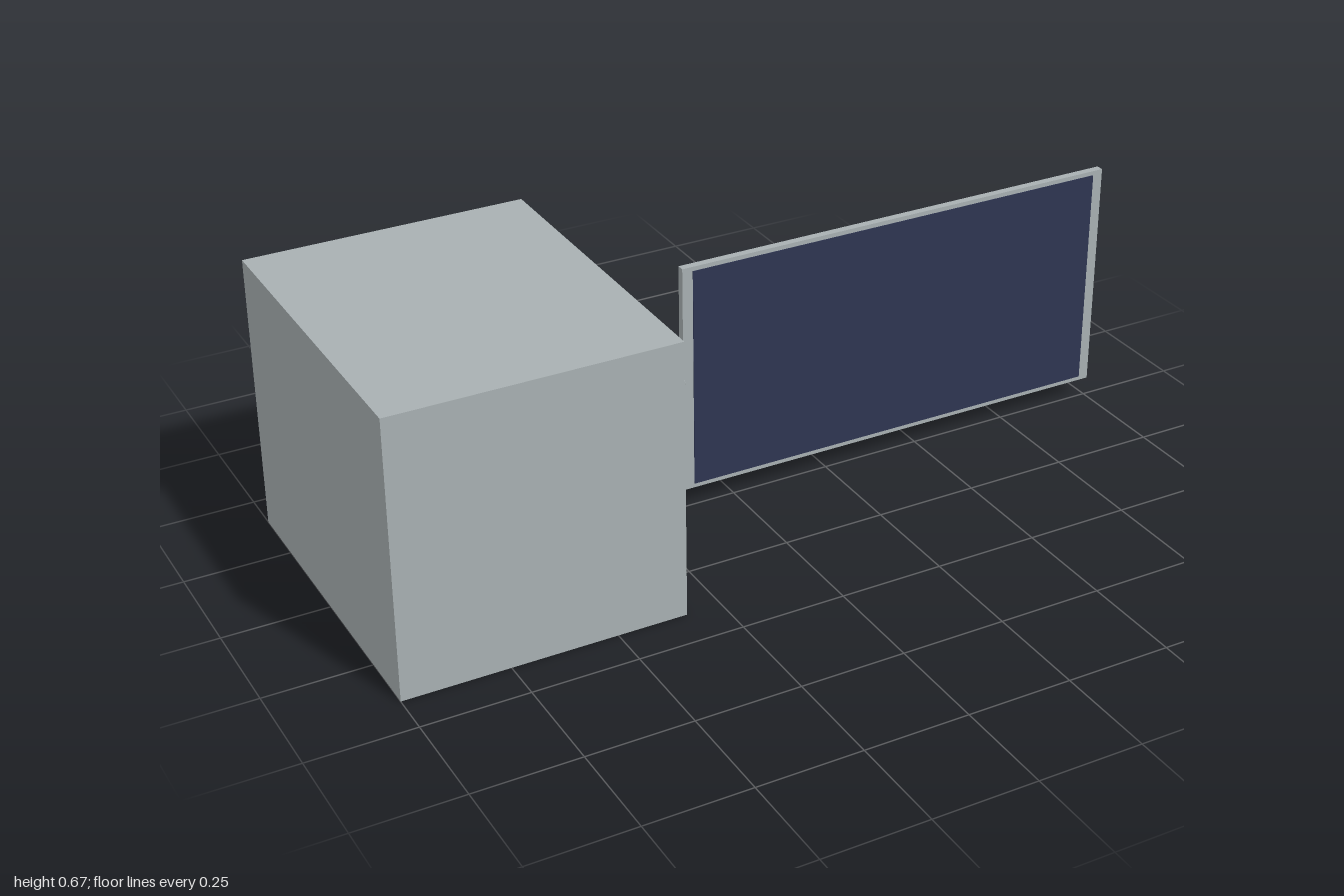
import * as THREE from 'three';

export function createModel() {
  const group = new THREE.Group();
  const grey = new THREE.MeshStandardMaterial({ color: 0xa8b0b2 });
  grey.name = 'light grey metal';
  grey.flatShading = true;
  const navy = new THREE.MeshStandardMaterial({ color: 0x2e3552 });
  navy.name = 'navy solar cell';

  const midY = 0.334;
  const add = (name, geometry, material, x, z = 0) => {
    const mesh = new THREE.Mesh(geometry, material);
    mesh.name = name;
    mesh.position.set(x, midY, z);
    group.add(mesh);
  };

  // Box-shaped main body
  add('body', new THREE.BoxGeometry(0.666, 0.668, 0.8), grey, -0.667);

  // Thin boom joining body and panel
  const boom = new THREE.CylinderGeometry(0.017, 0.017, 0.204, 8).rotateZ(Math.PI / 2);
  add('boom', boom, grey, -0.235);

  // Panel backing, with the cell sheet on its front
  add('panelFrame', new THREE.BoxGeometry(1.134, 0.567, 0.018), grey, 0.433);
  add('solarCells', new THREE.BoxGeometry(1.082, 0.546, 0.002), navy, 0.433, 0.0095);

  return group;
}
